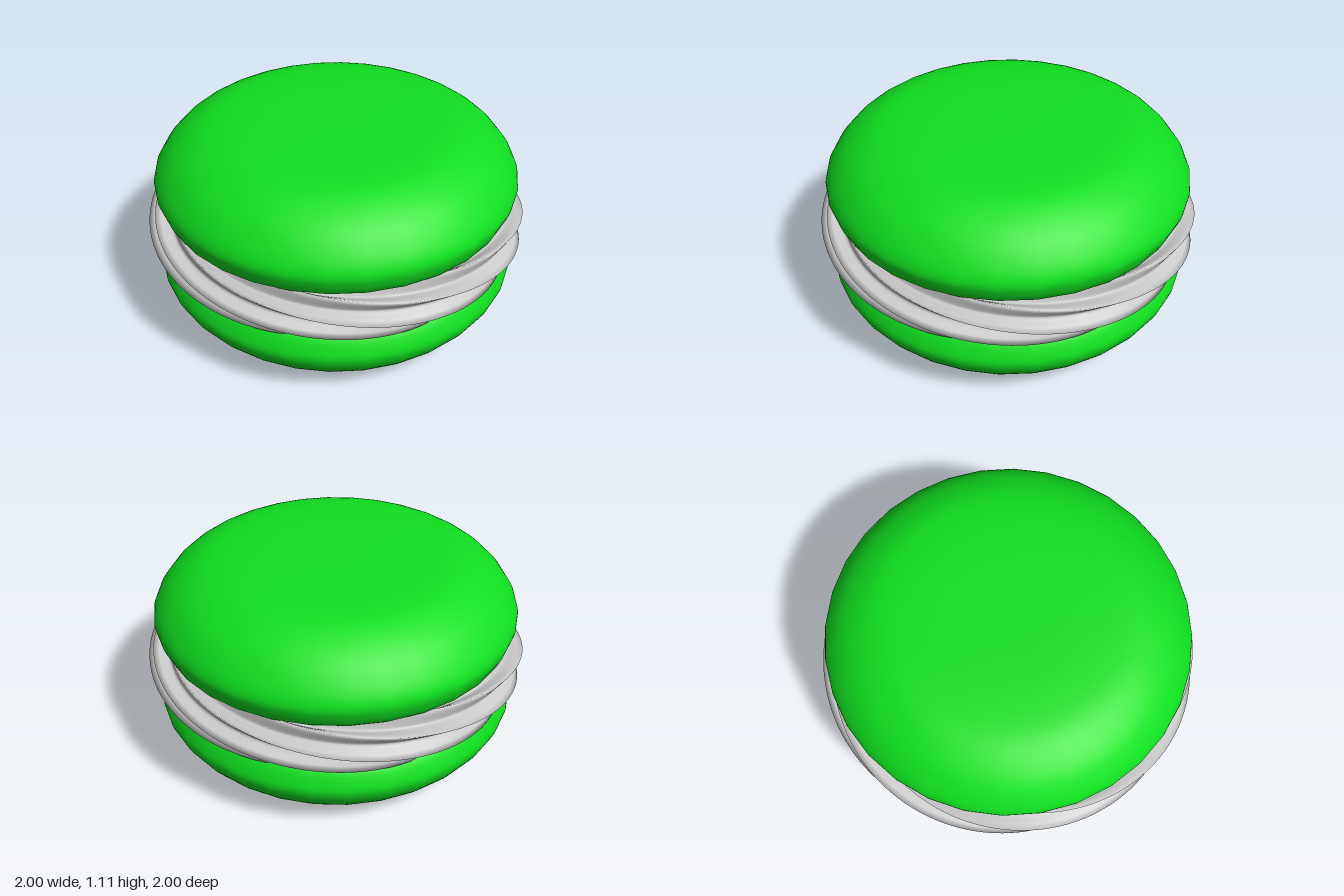
import * as THREE from 'three';

const MID = 0.555; // height of the plane between the two shells

const green = new THREE.MeshStandardMaterial({ color: 0x10e020 });
const grey = new THREE.MeshStandardMaterial({ color: 0xcccccc });

// Domed shell with a small foot, measured upwards from the middle plane
function shellGeometry() {
  const dome = new THREE.SplineCurve([
    [0.945, 0.185], [0.962, 0.25], [0.935, 0.325], [0.86, 0.42],
    [0.76, 0.49], [0.64, 0.535], [0.45, 0.552], [0.2, 0.555], [0, 0.555],
  ].map(([x, y]) => new THREE.Vector2(x, y))).getPoints(32);
  const foot = [[0, 0.105], [0.84, 0.105], [0.89, 0.11], [0.925, 0.14], [0.94, 0.175]]
    .map(([x, y]) => new THREE.Vector2(x, y));
  return new THREE.LatheGeometry([...foot, ...dome], 32);
}

// Ring with a star section of sharp ridges, turning once on its way round
function creamGeometry() {
  const ridges = 8, perRidge = 8, around = 144, section = ridges * perRidge;
  const ringRadius = 0.855, tip = 0.157, valley = 0.085;
  const positions = [], index = [];
  for (let i = 0; i < around; i++) {
    const theta = (i / around) * Math.PI * 2;
    for (let j = 0; j < section; j++) {
      const psi = (j / section) * Math.PI * 2;
      const r = tip - (tip - valley) * Math.abs(Math.sin((psi * ridges) / 2));
      const phi = psi + Math.PI / ridges - theta;
      const radius = ringRadius + r * Math.cos(phi);
      positions.push(radius * Math.sin(theta), r * Math.sin(phi), radius * Math.cos(theta));
      const i2 = (i + 1) % around, j2 = (j + 1) % section;
      const a = i * section + j, b = i2 * section + j;
      const c = i2 * section + j2, d = i * section + j2;
      index.push(a, b, c, a, c, d);
    }
  }
  const geometry = new THREE.BufferGeometry();
  geometry.setAttribute('position', new THREE.Float32BufferAttribute(positions, 3));
  geometry.setIndex(index);
  geometry.computeVertexNormals();
  return geometry;
}

export function createModel() {
  const group = new THREE.Group();
  group.name = 'macaron';
  const add = (name, geometry, material) => {
    const mesh = new THREE.Mesh(geometry, material);
    mesh.name = name;
    mesh.position.y = MID;
    group.add(mesh);
    return mesh;
  };

  // Two matching shells, the lower one turned over
  const shell = shellGeometry();
  add('topShell', shell, green);
  add('bottomShell', shell, green).rotation.x = Math.PI;

  // Piped cream between them
  add('creamFilling', creamGeometry(), grey);
  return group;
}
